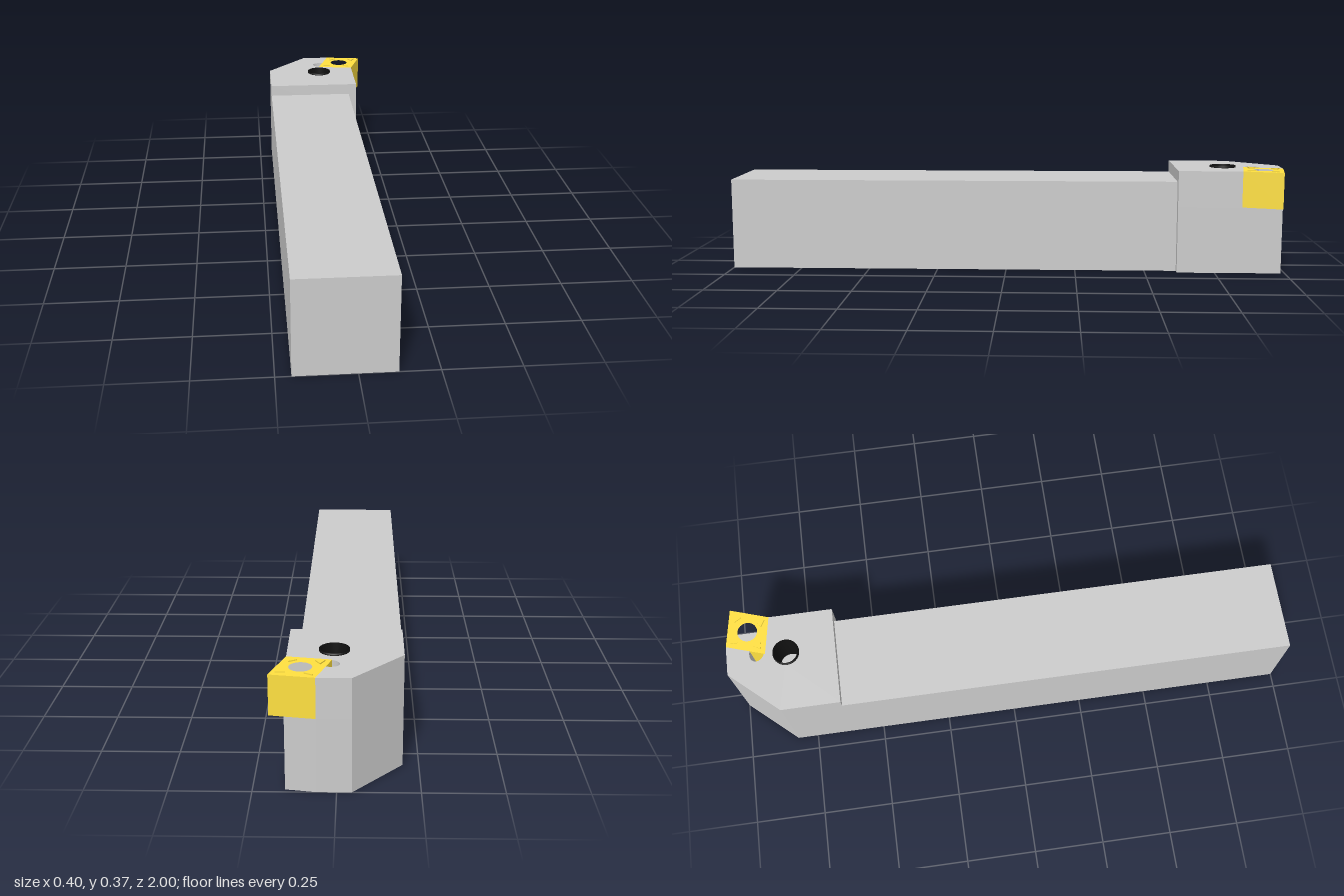
import * as THREE from 'three';

const grey = new THREE.MeshStandardMaterial({ color: 0xcccccc, flatShading: true });
const yellow = new THREE.MeshStandardMaterial({ color: 0xffe040, flatShading: true });
const black = new THREE.MeshStandardMaterial({ color: 0x111111, side: THREE.DoubleSide });

const POCKET_Y = 0.238, TOP_Y = 0.367;

// Plan points are [x, -z]; the outline is extruded upwards from y0 to y1.
function prism(name, points, y0, y1, material, holes = []) {
  const shape = new THREE.Shape(points.map(([x, v]) => new THREE.Vector2(x, v)));
  for (const [x, v, r] of holes) {
    shape.holes.push(new THREE.Path().absarc(x, v, r, 0, Math.PI * 2, true));
  }
  const geometry = new THREE.ExtrudeGeometry(shape, { depth: y1 - y0, bevelEnabled: false, curveSegments: 32 });
  geometry.rotateX(-Math.PI / 2);
  const mesh = new THREE.Mesh(geometry, material);
  mesh.name = name;
  mesh.position.y = y0;
  return mesh;
}

export function createModel() {
  const model = new THREE.Group();
  model.name = 'turningToolHolder';

  // Rhombic insert corners: outer tip, side, inner, end
  const A = [0.198, 0.978], B = [0.153, 0.842], C = [0.015, 0.864], D = [0.06, 1];
  const centre = [(A[0] + C[0]) / 2, (A[1] + C[1]) / 2];
  const screw = [0.01, 0.79, 0.047];

  // Square shank
  model.add(prism('shank', [[-0.2, -1], [0.122, -1], [0.122, 0.615], [-0.2, 0.615]], 0, 0.325, grey));

  // Head below the pocket floor
  const back = [[-0.045, 1], [-0.2, 0.825]];
  const front = [[-0.2, 0.615], [0.153, 0.615]];
  model.add(prism('headBase', [...front, [0.153, 0.985], D, ...back], 0, POCKET_Y, grey));

  // Head around the pocket, with a rounded relief next to the inner corner
  const dir = new THREE.Vector2(D[0] - C[0], D[1] - C[1]).normalize();
  const relief = [];
  for (let i = 0; i <= 16; i++) {
    const a = (i / 16) * Math.PI;
    const along = 0.03 - 0.026 * Math.cos(a), out = 0.034 * Math.sin(a);
    relief.push([C[0] + dir.x * along - dir.y * out, C[1] + dir.y * along + dir.x * out]);
  }
  model.add(prism('headTop', [...front, B, C, ...relief, D, ...back], POCKET_Y, TOP_Y, grey, [[screw[0], screw[1], 0.045]]));

  // Hollow clamping screw, standing slightly proud
  const rim = [[0.041, POCKET_Y], [0.041, 0.373], [0.047, 0.373], [0.047, TOP_Y]];
  const sleeve = new THREE.Mesh(new THREE.LatheGeometry(rim.map(([r, y]) => new THREE.Vector2(r, y)), 48), black);
  sleeve.name = 'clampScrew';
  sleeve.position.set(screw[0], 0, -screw[1]);
  model.add(sleeve);

  // Cutting insert with central hole
  model.add(prism('cuttingInsert', [A, D, C, B].reverse(), POCKET_Y, TOP_Y, yellow, [[...centre, 0.035]]));

  // Small raised triangles pointing to the insert corners
  for (const corner of [A, B, C, D]) {
    const dx = corner[0] - centre[0], dv = corner[1] - centre[1];
    const angle = Math.atan2(dv, dx);
    const mid = [centre[0] + dx * 0.62, centre[1] + dv * 0.62];
    const tri = [0, 1, 2].map((i) => {
      const a = angle + (i * Math.PI * 2) / 3;
      return [mid[0] + 0.017 * Math.cos(a), mid[1] + 0.017 * Math.sin(a)];
    });
    model.add(prism('chipBreaker', tri, TOP_Y, 0.371, yellow));
  }
  return model;
}
